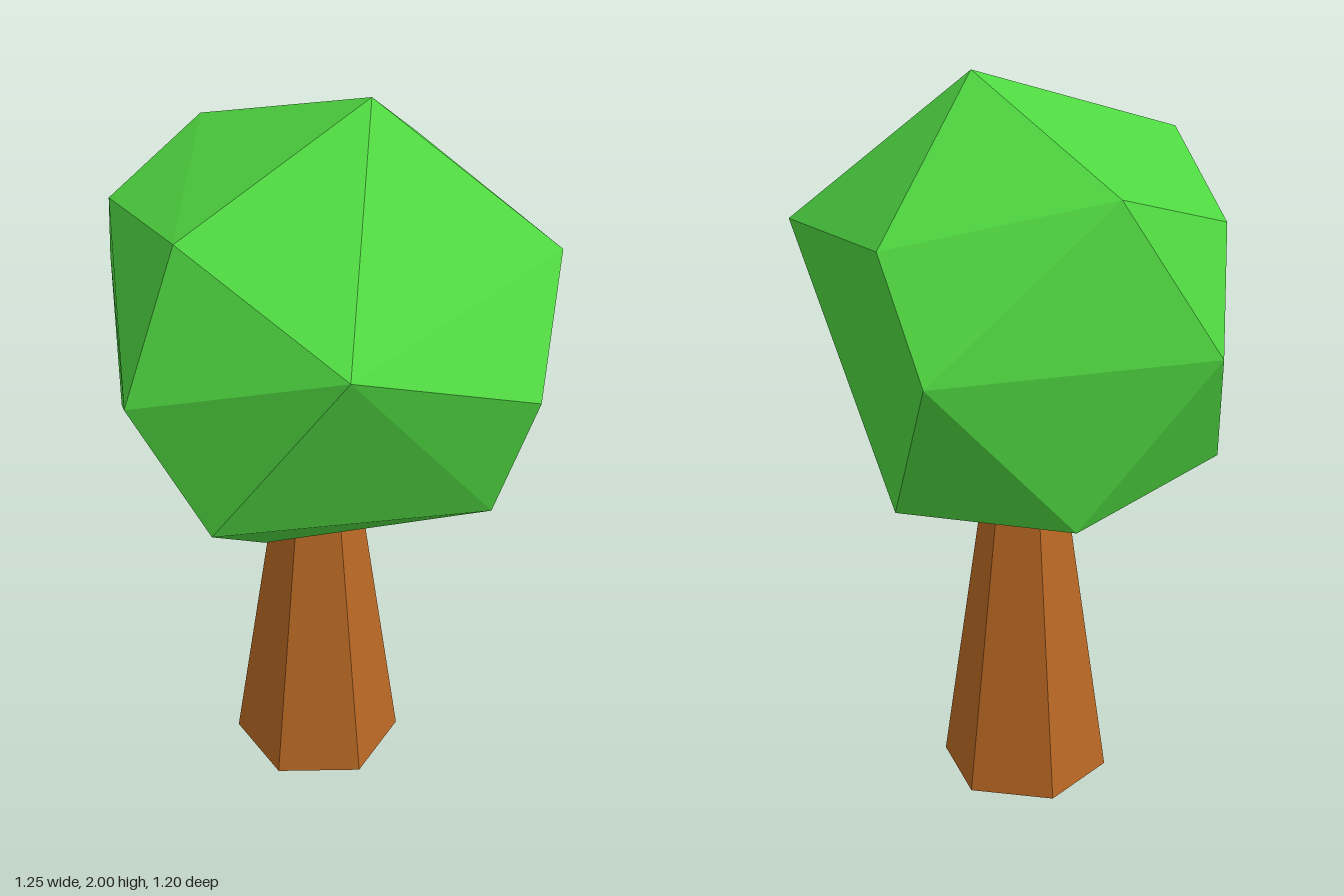
import * as THREE from 'three';
import { ConvexGeometry } from 'three/addons/geometries/ConvexGeometry.js';

// Corners of the faceted crown, from top to bottom
const CROWN = [
  [0.105, 2.0, -0.08],
  [-0.425, 1.8, -0.15], [-0.145, 1.785, 0.435],
  [-0.51, 1.68, 0.16], [0, 1.68, -0.54],
  [0.35, 1.58, 0.48], [0.53, 1.58, -0.315],
  [-0.197, 1.4, 0.6], [-0.197, 1.4, -0.6], [-0.628, 1.4, 0],
  [0.627, 1.33, 0],
  [-0.51, 1.05, 0.16], [0, 1.05, 0.54],
  [0.51, 0.96, 0], [0.02, 0.96, -0.48], [-0.38, 0.945, -0.25],
  [-0.06, 0.765, 0.18],
];

function part(name, geometry, color) {
  const material = new THREE.MeshStandardMaterial({ color, flatShading: true });
  const mesh = new THREE.Mesh(geometry, material);
  mesh.name = name;
  return mesh;
}

export function createModel() {
  const tree = new THREE.Group();
  tree.name = 'tree';

  // Tapered six-sided trunk, reaching into the crown
  const height = 1.0;
  const trunk = part('trunk', new THREE.CylinderGeometry(0.092, 0.229, height, 6), 0xb96824);
  trunk.position.y = height / 2;

  // Irregular low-poly crown
  const corners = CROWN.map((p) => new THREE.Vector3(...p));
  const crown = part('crown', new ConvexGeometry(corners), 0x4fd641);

  tree.add(trunk, crown);
  return tree;
}
